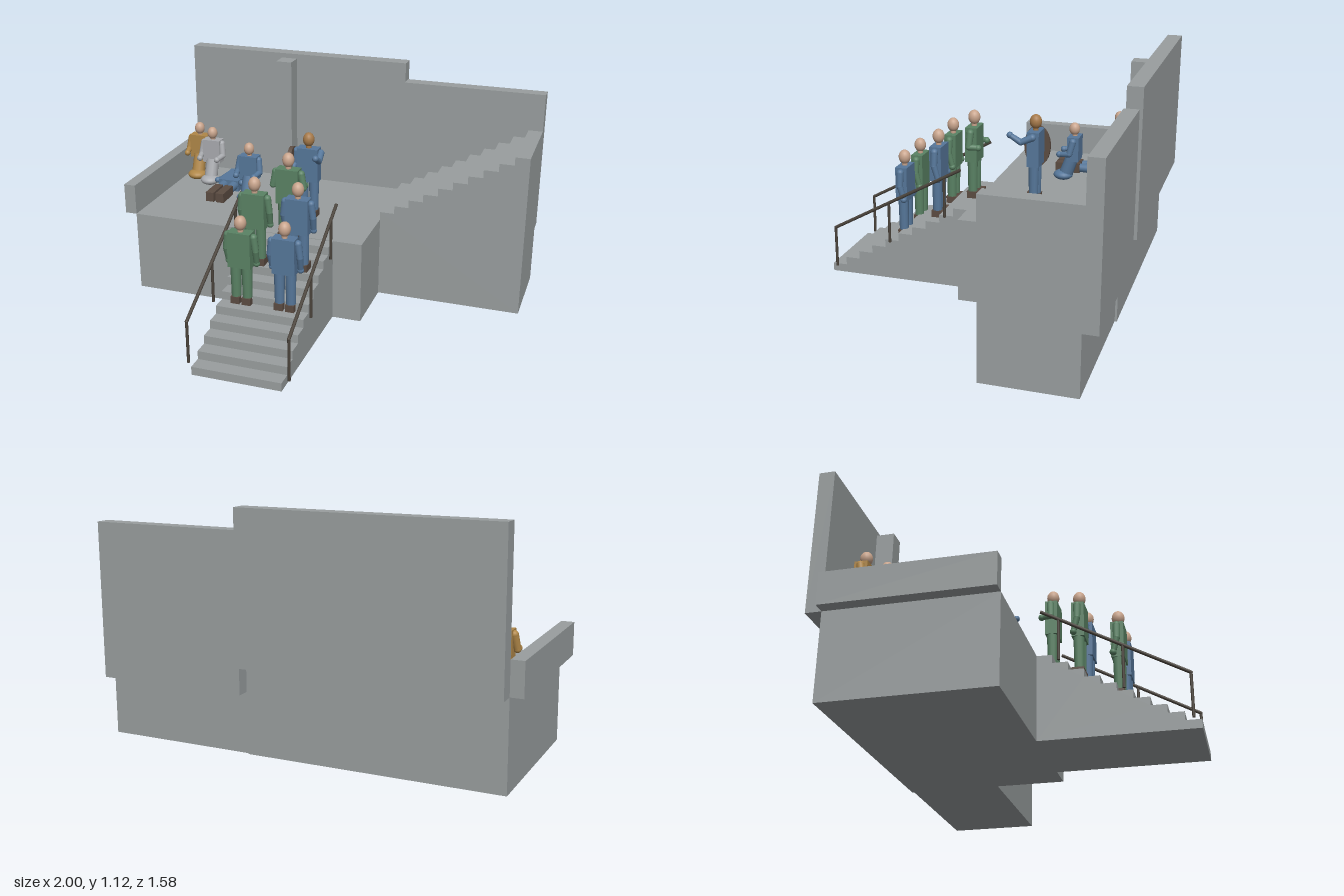
import * as THREE from 'three';

const mat = (name, color) => {
  const m = new THREE.MeshStandardMaterial({ color });
  m.name = name;
  return m;
};
const stone = mat('stone', 0x999e9f);
const green = mat('greenCloth', 0x5a8264);
const blue = mat('blueCloth', 0x56779a);
const ochre = mat('ochreCloth', 0xb08748);
const pale = mat('paleCloth', 0xa9abaf);
const skin = mat('skin', 0xc8a48c);
const tan = mat('tanSkin', 0xa67a4a);
const boot = mat('bootLeather', 0x5c4c42);
const iron = mat('railing', 0x4a433b);

const FLOOR = 0.415, RISE = 0.0412, RUN = 0.073;
const V = (x, y, z) => new THREE.Vector3(x, y, z);

function add(parent, name, geometry, material) {
  const mesh = new THREE.Mesh(geometry, material);
  mesh.name = name;
  parent.add(mesh);
  return mesh;
}

// Box given by its lower and upper limits
function block(parent, name, x0, x1, y0, y1, z0, z1, material = stone) {
  const m = add(parent, name, new THREE.BoxGeometry(x1 - x0, y1 - y0, z1 - z0), material);
  m.position.set((x0 + x1) / 2, (y0 + y1) / 2, (z0 + z1) / 2);
  return m;
}

// Round bar between two points
function bar(parent, name, a, b, r0, r1, material) {
  const d = b.clone().sub(a);
  const m = add(parent, name, new THREE.CylinderGeometry(r1, r0, d.length(), 12), material);
  m.position.copy(a).addScaledVector(d, 0.5);
  m.quaternion.setFromUnitVectors(V(0, 1, 0), d.normalize());
  return m;
}

function ball(parent, name, p, rx, ry, rz, material) {
  const m = add(parent, name, new THREE.SphereGeometry(1, 20, 14), material);
  m.scale.set(rx, ry, rz);
  m.position.copy(p);
  return m;
}

// Solid staircase: stepped outline extruded across its width
function stairs(name, length, width, base) {
  const s = new THREE.Shape();
  s.moveTo(0, 0);
  const n = 10, run = length / n;
  for (let i = 0; i < n; i++) {
    s.lineTo(i * run, base + (i + 1) * RISE);
    s.lineTo((i + 1) * run, base + (i + 1) * RISE);
  }
  s.lineTo(length, 0);
  const g = new THREE.ExtrudeGeometry(s, { depth: width, bevelEnabled: false });
  const m = new THREE.Mesh(g, stone);
  m.name = name;
  return m;
}

// Arm through shoulder, elbow and hand
function arm(parent, shoulder, elbow, hand, cloth) {
  const g = new THREE.Group();
  g.name = 'arm';
  bar(g, 'upperArm', shoulder, elbow, 0.018, 0.016, cloth);
  bar(g, 'forearm', elbow, hand, 0.016, 0.013, cloth);
  ball(g, 'shoulder', shoulder, 0.018, 0.018, 0.018, cloth);
  ball(g, 'elbow', elbow, 0.016, 0.016, 0.016, cloth);
  ball(g, 'hand', hand, 0.016, 0.016, 0.016, cloth);
  parent.add(g);
}

// Standing figure, facing +z; arms holds [elbow, hand] for each side
function standing(name, cloth, face, arms, bootTop = 0.035, shoes = true) {
  const g = new THREE.Group();
  g.name = name;
  block(g, 'torso', -0.056, 0.056, 0.19, 0.365, -0.03, 0.03, cloth);
  bar(g, 'neck', V(0, 0.36, 0), V(0, 0.385, 0), 0.014, 0.014, face);
  ball(g, 'head', V(0, 0.408, 0), 0.029, 0.036, 0.03, face);
  [-1, 1].forEach((s, i) => {
    bar(g, 'leg', V(s * 0.028, bootTop, 0), V(s * 0.028, 0.195, 0), 0.023, 0.026, cloth);
    if (shoes) block(g, 'shoe', s * 0.028 - 0.022, s * 0.028 + 0.022, 0, 0.035, -0.025, 0.045, boot);
    else block(g, 'boot', s * 0.028 - 0.022, s * 0.028 + 0.022, 0, bootTop, -0.025, 0.025, boot);
    arm(g, V(s * 0.064, 0.343, 0), arms[i][0], arms[i][1], cloth);
  });
  return g;
}

// Kneeling figure, facing +z, with folded legs as a flat rounded base
function kneeling(name, cloth, face) {
  const g = new THREE.Group();
  g.name = name;
  block(g, 'torso', -0.05, 0.05, 0.115, 0.243, -0.03, 0.03, cloth);
  bar(g, 'neck', V(0, 0.24, 0), V(0, 0.265, 0), 0.013, 0.013, face);
  ball(g, 'head', V(0, 0.28, 0.003), 0.027, 0.033, 0.028, face);
  bar(g, 'lap', V(0, 0.03, 0.045), V(0, 0.13, 0.01), 0.036, 0.034, cloth);
  ball(g, 'foldedLegs', V(0, 0.027, 0.058), 0.051, 0.027, 0.051, cloth);
  for (const s of [-1, 1]) {
    arm(g, V(s * 0.052, 0.222, 0), V(s * 0.062, 0.158, 0.015), V(s * 0.05, 0.15, 0.07), cloth);
  }
  return g;
}

const hanging = [-1, 1].map(s => [V(s * 0.073, 0.275, 0), V(s * 0.07, 0.205, 0.018)]);
const bent = [-1, 1].map(s => [V(s * 0.078, 0.275, -0.004), V(s * 0.07, 0.272, 0.042)]);
const pointing = [
  [V(-0.075, 0.275, 0), V(-0.075, 0.25, 0.04)],
  [V(0.072, 0.318, 0.055), V(0.072, 0.35, 0.11)],
];

export function createModel() {
  const root = new THREE.Group();
  root.name = 'courtyardStairs';

  // Platform, walls and pillar
  block(root, 'platform', -0.94, 0.27, 0, FLOOR, -0.715, 0.062);
  block(root, 'backWall', -0.94, 0.27, FLOOR, 1.12, -0.79, -0.715);
  block(root, 'sideBackWall', 0.27, 1, 0.29, 1.02, -0.775, -0.705);
  block(root, 'parapet', -1, -0.94, FLOOR, 0.57, -0.715, 0.062);
  block(root, 'pillar', -0.42, -0.335, FLOOR, 1.095, -0.715, -0.627);

  // Upper stairs rise along +x, front stairs rise towards the platform
  const upper = stairs('upperStairs', 0.73, 0.435, FLOOR);
  upper.position.set(0.27, 0, -0.705);
  const front = stairs('frontStairs', 0.728, 0.435, 0);
  front.rotation.y = Math.PI / 2;
  front.position.set(-0.31, 0, 0.79);
  root.add(upper, front);

  // Railings
  for (const x of [-0.338, 0.149]) {
    const rail = new THREE.Group();
    rail.name = 'railing';
    const top = z => 0.25 + (0.757 - z) * 0.555;
    bar(rail, 'handrail', V(x, top(0.757), 0.757), V(x, top(0.088), 0.088), 0.008, 0.008, iron);
    ball(rail, 'railEnd', V(x, top(0.757), 0.757), 0.008, 0.008, 0.008, iron);
    for (const [z, foot] of [[0.757, 0.041], [0.463, 0.206], [0.171, 0.371]]) {
      bar(rail, 'post', V(x, foot, z), V(x, top(z), z), 0.007, 0.007, iron);
    }
    root.add(rail);
  }

  // Figures climbing the stairs
  const climbers = [
    [green, -0.09, 10, 0.095, bent],
    [green, -0.205, 8, 0.246, hanging], [blue, 0.012, 8, 0.246, hanging],
    [green, -0.205, 5, 0.428, hanging], [blue, 0.012, 5, 0.428, hanging],
  ];
  for (const [cloth, x, step, z, arms] of climbers) {
    const f = standing('climber', cloth, skin, arms);
    f.rotation.y = Math.PI;
    f.position.set(x, step * RISE + 0.001, z);
    root.add(f);
  }

  // Figure holding an oval shield
  const guard = standing('shieldBearer', blue, tan, pointing);
  guard.position.set(-0.095, FLOOR, -0.217);
  const shield = add(guard, 'shield', new THREE.CylinderGeometry(1, 1, 0.02, 32), boot);
  shield.rotation.z = Math.PI / 2;
  shield.scale.set(0.105, 1, 0.066);
  shield.position.set(-0.085, 0.26, 0.012);
  const boss = ball(guard, 'shieldBoss', V(-0.095, 0.26, 0.012), 0.01, 0.03, 0.02, iron);
  boss.rotation.y = 0;
  root.add(guard);

  // Figure lying on its back
  const lying = standing('lyingFigure', blue, skin, hanging, 0.13, false);
  lying.rotation.x = -Math.PI / 2;
  lying.position.set(-0.618, FLOOR + 0.03, -0.205);
  root.add(lying);

  // Kneeling figures
  for (const [cloth, face, x, z] of [
    [ochre, skin, -0.857, -0.57], [pale, skin, -0.755, -0.512], [blue, skin, -0.465, -0.33],
  ]) {
    const k = kneeling('kneelingFigure', cloth, face);
    k.position.set(x, FLOOR, z);
    root.add(k);
  }
  return root;
}
